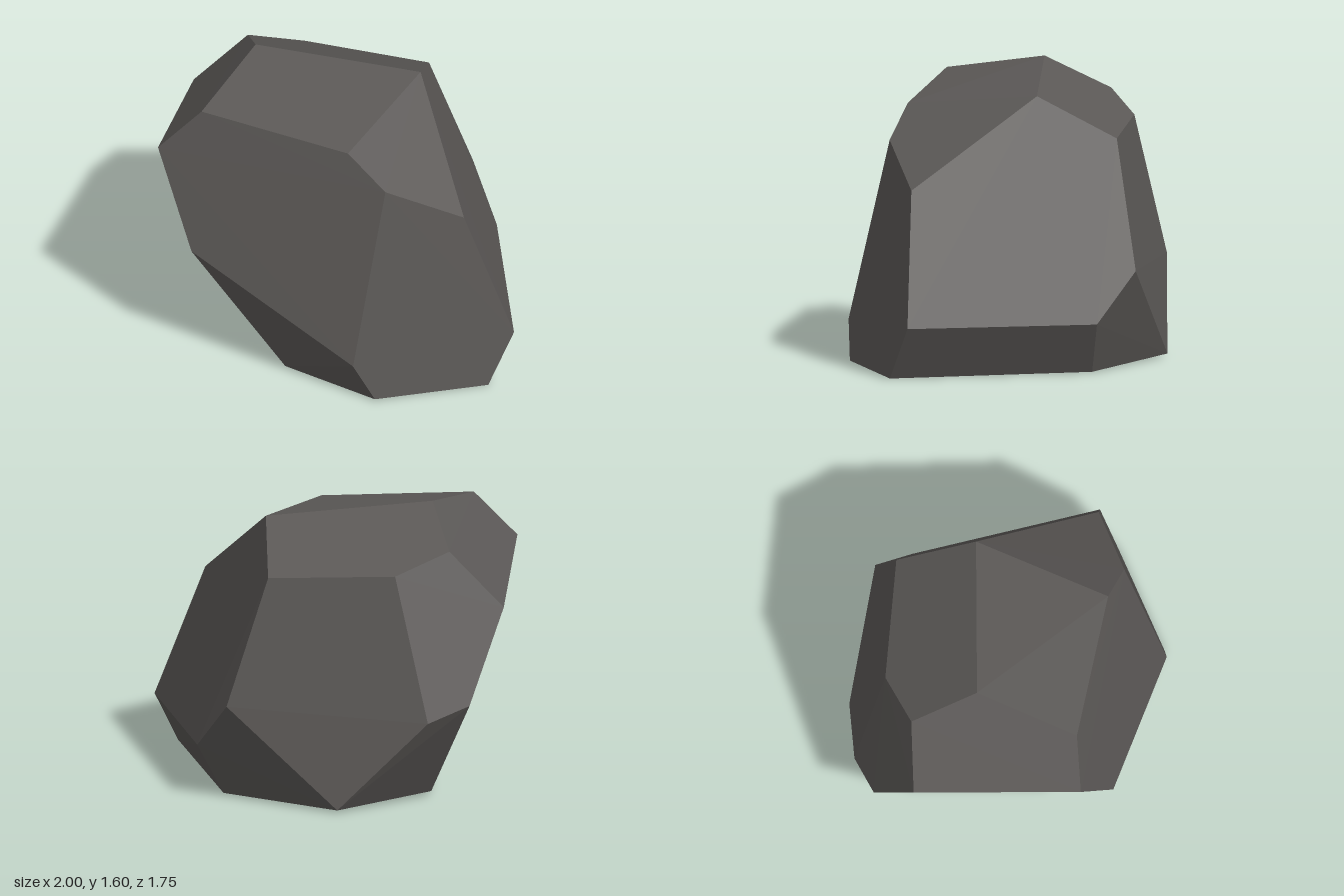
import * as THREE from 'three';
import { ConvexGeometry } from 'three/addons/geometries/ConvexGeometry.js';

// Faceted boulder: the hull of rings of corners, from the ground to the crown
const base = [
  [0.87, 0.005, 0.63], [0.27, 0.015, 0.865], [-0.26, 0.025, 0.62], [-0.53, 0.03, 0.19],
  [-0.52, 0.03, -0.52], [0, 0.02, -0.88], [0.625, 0.01, -0.48],
];
const lowerFlanks = [
  [1, 0.3, 0.53], [0.15, 0.23, 0.875], [-0.79, 0.7, 0.555],
  [-0.73, 0.585, -0.765], [-0.5, 0.51, -0.865], [0.61, 0.57, -0.72], [0.77, 0.295, -0.51],
];
const shoulders = [
  [0.72, 1.03, 0.515], [0.3, 1.25, 0.645], [-1, 1.25, 0.37],
  [-0.92, 1.09, -0.55], [-0.32, 1.305, -0.69], [0.38, 1.275, -0.61],
];
const crown = [
  [0.08, 1.425, 0.55], [-0.76, 1.5, 0.355], [-0.53, 1.6, -0.19],
  [0.39, 1.51, -0.17], [-0.62, 1.41, -0.555],
];

export function createModel() {
  const stone = new THREE.MeshStandardMaterial({ color: 0x5b5856 });
  stone.name = 'darkStone';

  const corners = [...base, ...lowerFlanks, ...shoulders, ...crown]
    .map((p) => new THREE.Vector3(...p));
  const boulder = new THREE.Mesh(new ConvexGeometry(corners), stone);
  boulder.name = 'boulder';

  const group = new THREE.Group();
  group.name = 'rock';
  group.add(boulder);
  return group;
}
